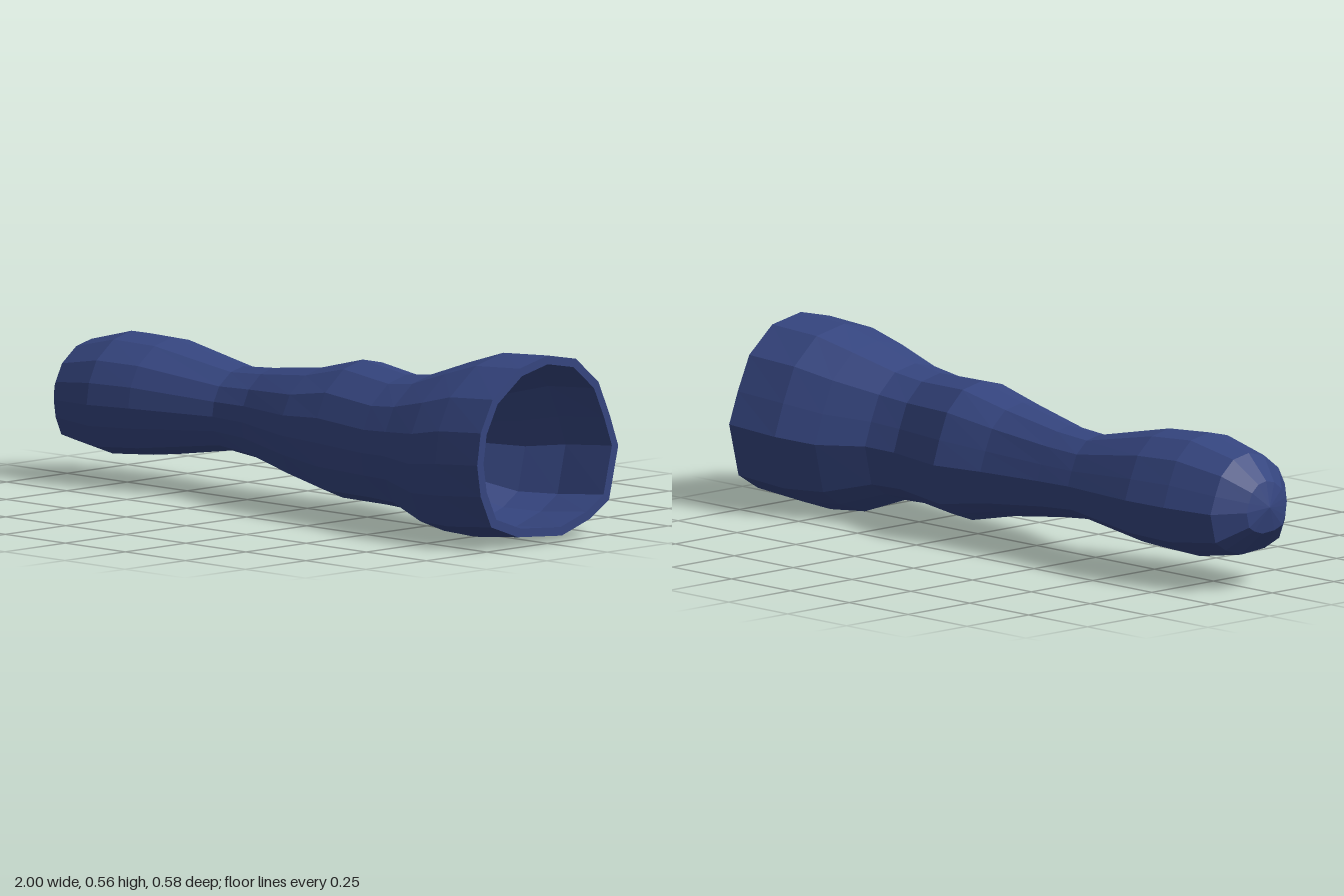
import * as THREE from 'three';

// Stations along the body: x, top y, bottom y, back z, front z
const STATIONS = [
  [-0.98, 0.335, 0.18, -0.085, 0.075],
  [-0.91, 0.41, 0.11, -0.165, 0.145],
  [-0.75, 0.45, 0.085, -0.203, 0.168],
  [-0.60, 0.443, 0.095, -0.215, 0.145],
  [-0.32, 0.386, 0.137, -0.18, 0.075],
  [-0.19, 0.395, 0.125, -0.178, 0.082],
  [0.05, 0.425, 0.09, -0.182, 0.16],
  [0.22, 0.466, 0.055, -0.21, 0.188],
  [0.45, 0.45, 0.063, -0.15, 0.225],
  [0.56, 0.463, 0.06, -0.162, 0.243],
  [0.70, 0.512, 0.01, -0.232, 0.277],
  [0.82, 0.55, 0.003, -0.28, 0.286],
  [1.00, 0.56, 0.02, -0.293, 0.29],
];

// Irregular rounded cross-section, as (z, y) within a unit square
const PROFILE = [
  [0, 1], [0.4, 0.9], [0.78, 0.6], [0.95, 0.25], [1, -0.1], [0.95, -0.45], [0.8, -0.8],
  [0.42, -0.95], [-0.2, -1], [-0.6, -0.86], [-0.87, -0.68], [-1, -0.1], [-0.88, 0.25],
  [-0.72, 0.63], [-0.4, 0.92],
];
const WALL = 0.026;

function ring([x, top, bottom, back, front], inset) {
  const cy = (top + bottom) / 2, cz = (back + front) / 2;
  const ry = (top - bottom) / 2 - inset, rz = (front - back) / 2 - inset;
  return PROFILE.map(([z, y]) => [x, cy + y * ry, cz + z * rz]);
}

const tip = (x) => PROFILE.map(() => [x, 0.26, -0.01]);

// Skins consecutive rings, dropping the collapsed triangles at the tips
function loft(rings) {
  const pos = [];
  const n = PROFILE.length;
  const same = (p, q) => p.every((v, k) => v === q[k]);
  const tri = (a, b, c) => {
    if (!same(a, b) && !same(b, c) && !same(a, c)) pos.push(...a, ...b, ...c);
  };
  for (let i = 0; i < rings.length - 1; i++) {
    for (let j = 0; j < n; j++) {
      const k = (j + 1) % n;
      const a = rings[i][j], b = rings[i + 1][j], c = rings[i + 1][k], d = rings[i][k];
      tri(a, d, c);
      tri(a, c, b);
    }
  }
  const geo = new THREE.BufferGeometry();
  geo.setAttribute('position', new THREE.Float32BufferAttribute(pos, 3));
  geo.computeVertexNormals();
  return geo;
}

export function createModel() {
  const group = new THREE.Group();
  group.name = 'hollowSleeve';
  const material = new THREE.MeshStandardMaterial({ color: 0x35457f, flatShading: true });

  // Closed tip and outer skin up to the open end
  const outer = STATIONS.map((s) => ring(s, 0));
  const shell = new THREE.Mesh(loft([tip(-1), ...outer]), material);
  shell.name = 'outerShell';

  // Flat rim around the opening, then the cavity back to its closed end
  const inner = STATIONS.slice(1).map((s) => ring(s, WALL)).reverse();
  const rim = new THREE.Mesh(loft([outer[outer.length - 1], inner[0]]), material);
  rim.name = 'rim';
  const lining = new THREE.Mesh(loft([...inner, tip(-0.96)]), material);
  lining.name = 'innerLining';

  group.add(shell, rim, lining);
  return group;
}
